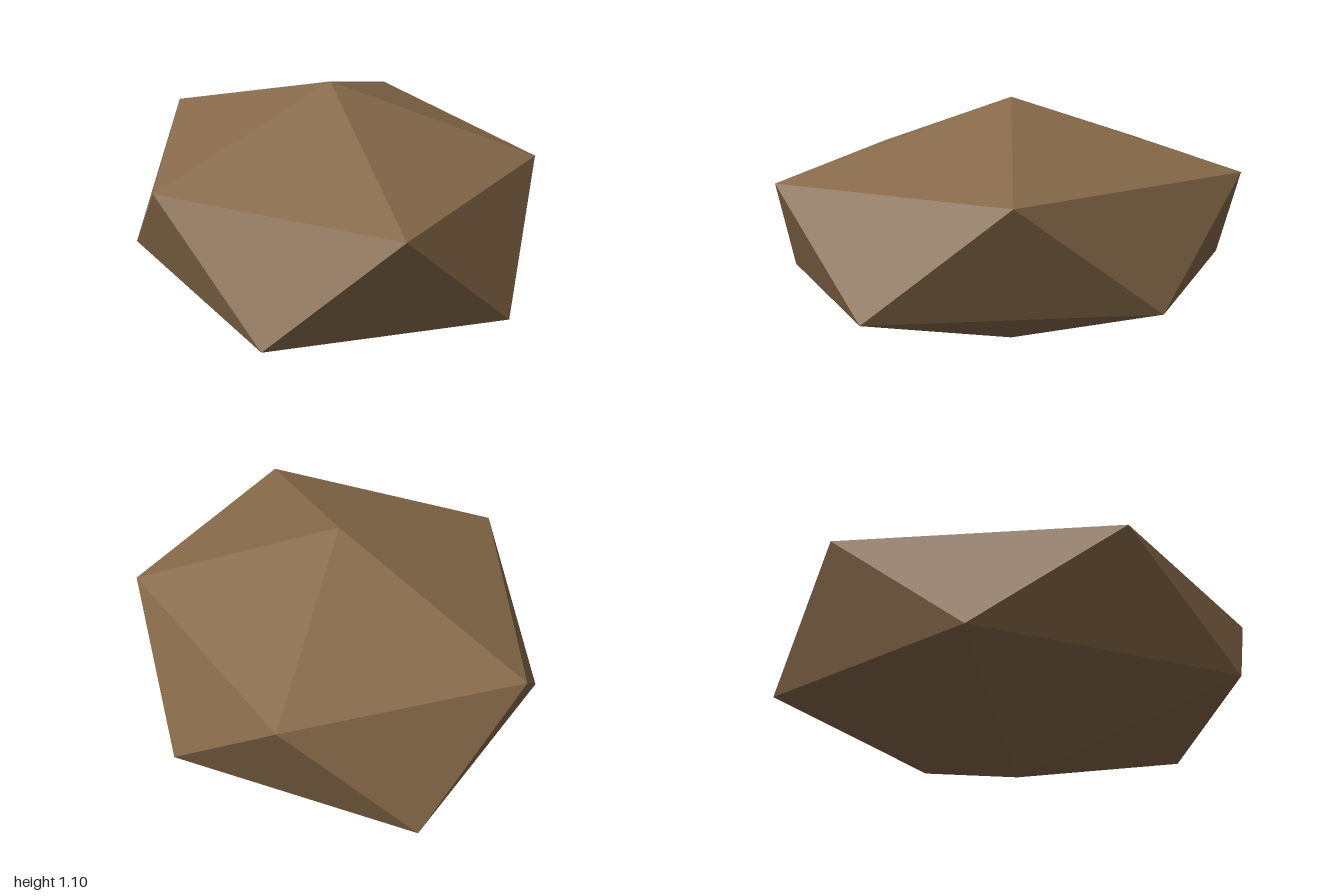
import * as THREE from 'three';

export function createModel() {
  const group = new THREE.Group();
  group.name = 'rock';

  // Upper five corners (x, z); the lower ring is the same pentagon turned half way round
  const pentagon = [[0.05, -1], [0.885, -0.1], [0.5, 0.93], [-0.58, 0.68], [-0.86, -0.51]];
  const apex = [0, 1.1, 0];
  const base = [0, 0, 0];
  const upper = pentagon.map(([x, z]) => [x, 0.795, z]);
  const lower = pentagon.map((_, k) => {
    const [x, z] = pentagon[(k + 3) % 5];
    return [-x, 0.305, -z];
  });

  // Cap, zigzag band and underside, one slice per corner
  const positions = [];
  const face = (...corners) => corners.forEach((c) => positions.push(...c));
  for (let k = 0; k < 5; k++) {
    const n = (k + 1) % 5;
    face(apex, upper[n], upper[k]);
    face(upper[k], upper[n], lower[k]);
    face(lower[k], upper[n], lower[n]);
    face(base, lower[k], lower[n]);
  }

  const geometry = new THREE.BufferGeometry();
  geometry.setAttribute('position', new THREE.Float32BufferAttribute(positions, 3));
  geometry.computeVertexNormals(); // unshared corners give flat facets

  const brown = new THREE.MeshStandardMaterial({ color: 0x876a4a });
  brown.name = 'earthBrown';
  brown.flatShading = true;

  const stone = new THREE.Mesh(geometry, brown);
  stone.name = 'stone';
  group.add(stone);
  return group;
}
